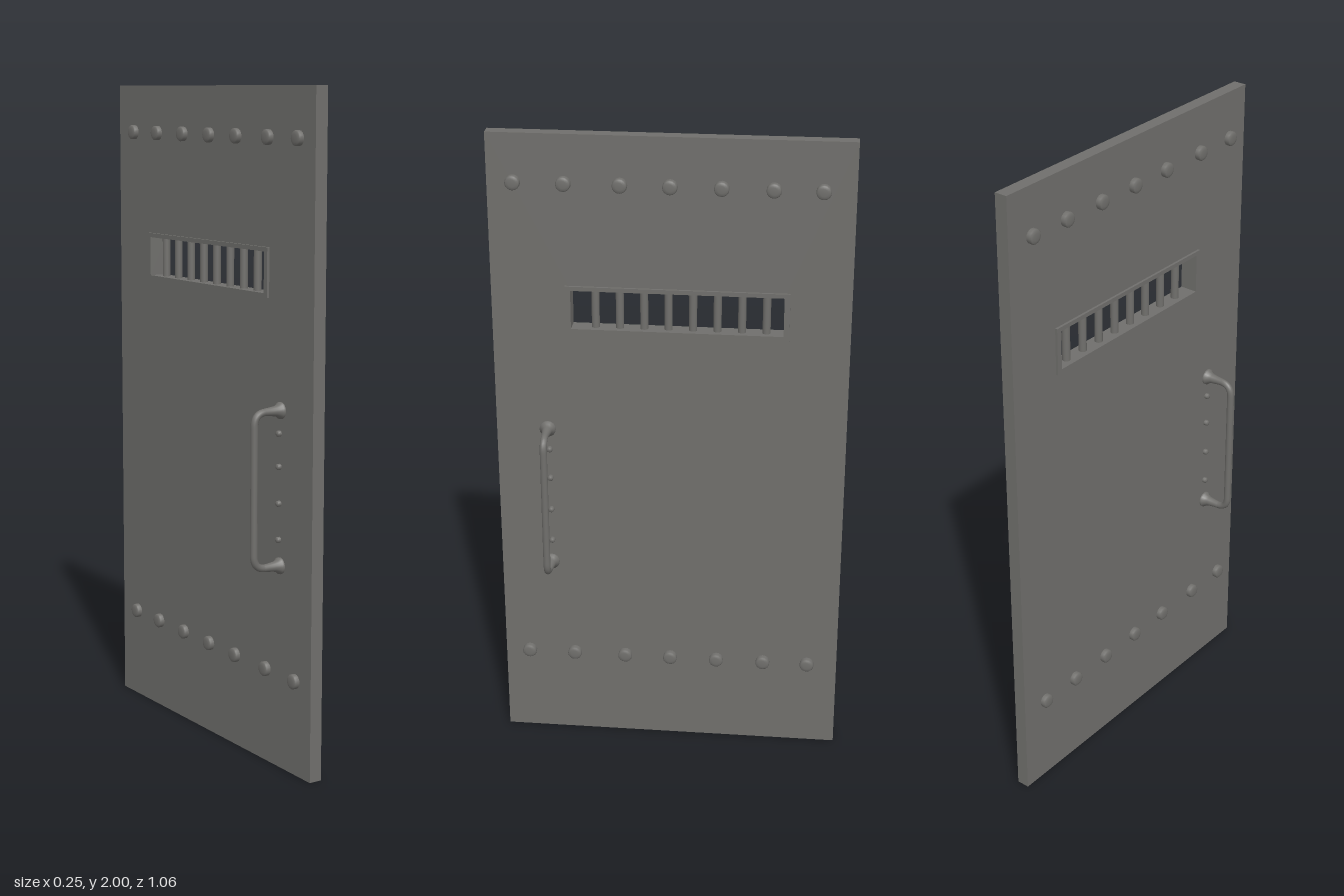
import * as THREE from 'three';

// Extruded rectangular plate in the z/y plane with a rectangular hole, centred on x = 0
function holedPlate(outer, inner, thickness) {
  const corners = ([z0, z1, y0, y1]) => [[z0, y0], [z1, y0], [z1, y1], [z0, y1]].map(p => new THREE.Vector2(...p));
  const shape = new THREE.Shape(corners(outer));
  shape.holes.push(new THREE.Path(corners(inner).reverse()));
  const geo = new THREE.ExtrudeGeometry(shape, { depth: thickness, bevelEnabled: false });
  return geo.translate(0, 0, -thickness / 2).rotateY(-Math.PI / 2);
}

// Lathe whose axis points along +x; profile is [radius, x] pairs from base to tip
function studGeometry(profile, sides) {
  return new THREE.LatheGeometry(profile.map(p => new THREE.Vector2(...p)), sides).rotateZ(-Math.PI / 2);
}

export function createModel() {
  const door = new THREE.Group();
  door.name = 'door';
  const steel = new THREE.MeshStandardMaterial({ color: 0x706f6c });
  steel.name = 'grey steel';

  const add = (parent, name, geo, x = 0, y = 0, z = 0) => {
    const mesh = new THREE.Mesh(geo, steel);
    mesh.name = name;
    mesh.position.set(x, y, z);
    parent.add(mesh);
    return mesh;
  };

  // Door slab and raised window frame
  const opening = [-0.335, 0.295, 1.41, 1.53];
  add(door, 'slab', holedPlate([-0.532, 0.532, 0, 2], opening, 0.04));
  add(door, 'windowFrame', holedPlate([-0.352, 0.312, 1.397, 1.543], opening, 0.055));

  // Window bars
  const barGeo = new THREE.CylinderGeometry(0.012, 0.012, 0.13, 16);
  for (let i = 0; i < 8; i++) add(door, 'windowBar', barGeo, 0, 1.47, 0.224 - i * 0.0725);

  // Shared fittings
  const boltGeo = studGeometry([[0.022, 0], [0.022, 0.013], [0.019, 0.016], [0.011, 0.018], [0, 0.018]], 16);
  const rivetGeo = studGeometry([[0.009, 0], [0.009, 0.009], [0.006, 0.012], [0, 0.013]], 12);
  const footGeo = studGeometry([[0.025, 0], [0.025, 0.006], [0.019, 0.012], [0.015, 0.022], [0.012, 0.045], [0.011, 0.06]], 16);

  // Pull handle path, in x and y
  const low = 0.618, high = 1.078, reach = 0.113, bend = 0.04;
  const v = (x, y) => new THREE.Vector3(x, y, 0);
  const path = new THREE.CurvePath();
  path.add(new THREE.LineCurve3(v(0.02, low - 0.001), v(reach - bend, low)));
  path.add(new THREE.QuadraticBezierCurve3(v(reach - bend, low), v(reach, low), v(reach, low + bend)));
  path.add(new THREE.LineCurve3(v(reach, low + bend), v(reach, high - bend)));
  path.add(new THREE.QuadraticBezierCurve3(v(reach, high - bend), v(reach, high), v(reach - bend, high)));
  path.add(new THREE.LineCurve3(v(reach - bend, high), v(0.02, high)));
  const gripGeo = new THREE.TubeGeometry(path, 96, 0.011, 12);

  // The same fittings on both faces of the door
  for (const side of [1, -1]) {
    const face = new THREE.Group();
    face.name = side > 0 ? 'leftFaceFittings' : 'rightFaceFittings';
    const turn = side > 0 ? 0 : Math.PI;
    const fit = (name, geo, y, z) => { add(face, name, geo, side * 0.02, y, z).rotation.y = turn; };
    for (const y of [0.288, 1.855])
      for (const z of [0.455, 0.308, 0.145, 0, -0.148, -0.297, -0.438]) fit('bolt', boltGeo, y, z);
    for (const y of [0.695, 0.803, 0.912, 1.01]) fit('smallRivet', rivetGeo, y, 0.371);
    for (const y of [low, high]) fit('handleFoot', footGeo, y, 0.375);
    add(face, 'handleGrip', gripGeo, 0, 0, 0.375).rotation.y = turn;
    door.add(face);
  }
  return door;
}
